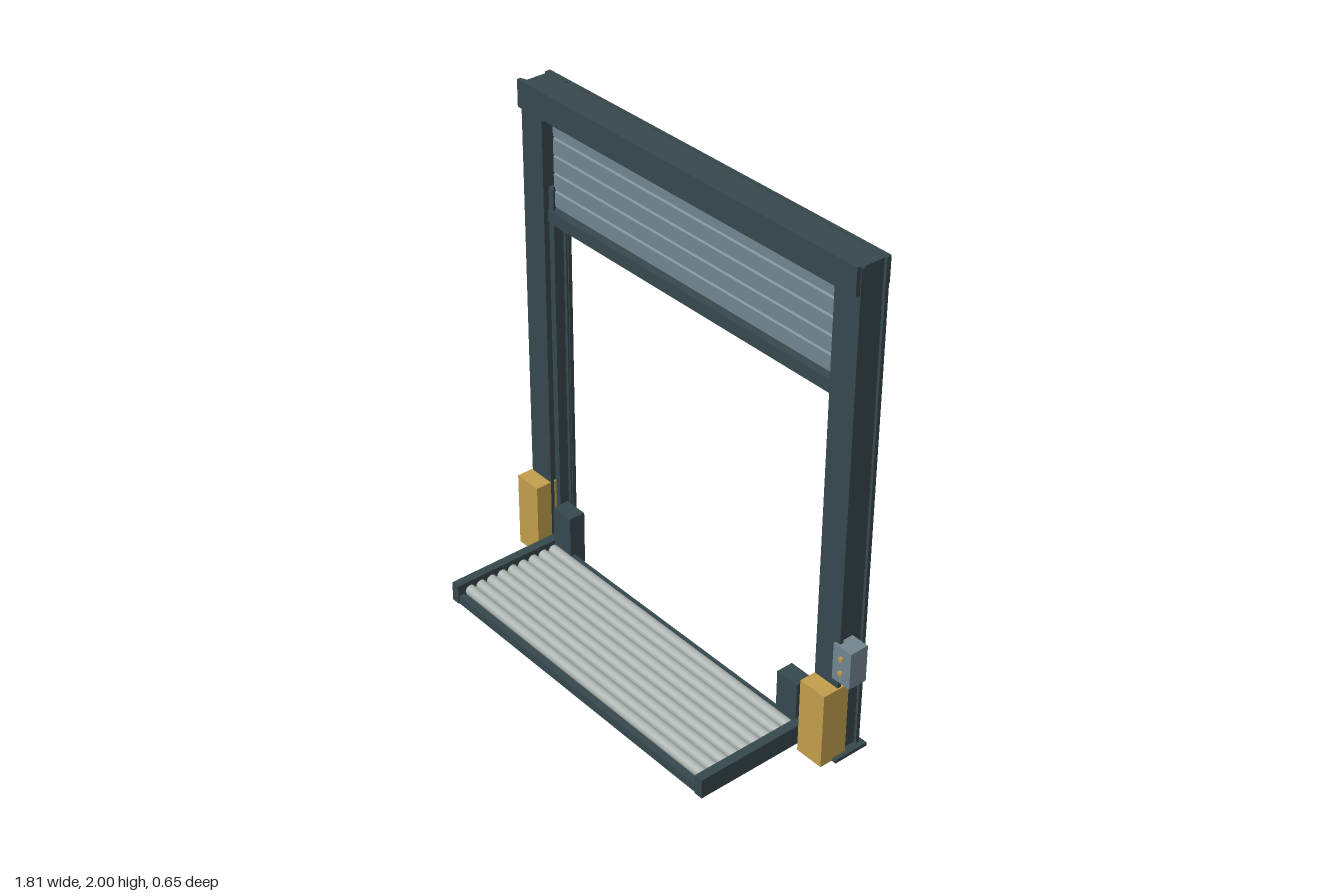
import * as THREE from 'three';

export function createModel() {
  const root = new THREE.Group();
  root.name = 'shutterGate';
  const mat = (name, color) => {
    const m = new THREE.MeshStandardMaterial({ color });
    m.name = name;
    return m;
  };
  const steel = mat('darkSteel', 0x36484d);
  const slatGrey = mat('shutterGrey', 0x728590);
  const rollerGrey = mat('rollerGrey', 0xaab1ae);
  const ochre = mat('ochre', 0xc29e4c);

  const add = (name, geometry, material, parent = root) => {
    const mesh = new THREE.Mesh(geometry, material);
    mesh.name = name;
    parent.add(mesh);
    return mesh;
  };
  // Box given by its limits on each axis
  const box = (name, x0, x1, y0, y1, z0, z1, material = steel, parent = root) => {
    const mesh = add(name, new THREE.BoxGeometry(x1 - x0, y1 - y0, z1 - z0), material, parent);
    mesh.position.set((x0 + x1) / 2, (y0 + y1) / 2, (z0 + z1) / 2);
    return mesh;
  };
  // Cylinder lying along x
  const rod = (name, x0, x1, y, z, r, sides, material, parent = root) => {
    const geometry = new THREE.CylinderGeometry(r, r, x1 - x0, sides).rotateZ(Math.PI / 2);
    const mesh = add(name, geometry, material, parent);
    mesh.position.set((x0 + x1) / 2, y, z);
    return mesh;
  };

  // The gate is symmetric about this x
  const cx = -0.0225;

  // Posts, guides, guards and feet on both sides; s points outward
  for (const s of [-1, 1]) {
    const side = new THREE.Group();
    side.name = s > 0 ? 'leftPost' : 'rightPost';
    root.add(side);
    // Limits measured outward from the centre line
    const part = (name, a, b, y0, y1, z0, z1, m = steel) =>
      box(name, cx + Math.min(s * a, s * b), cx + Math.max(s * a, s * b), y0, y1, z0, z1, m, side);

    part('frontFlange', 0.746, 0.861, 0.012, 1.99, -0.191, -0.176);
    part('backFlange', 0.746, 0.861, 0.012, 1.99, -0.299, -0.284);
    part('postCore', 0.752, 0.85, 0.012, 1.978, -0.285, -0.19);
    part('basePlate', 0.724, 0.883, 0, 0.014, -0.316, -0.165);
    part('postGuard', 0.746, 0.866, 0.004, 0.322, -0.225, -0.108, ochre);

    // U-shaped shutter guide
    part('guideBack', 0.738, 0.753, 0.014, 1.6, -0.262, -0.204);
    part('guideFrontLip', 0.724, 0.748, 0.014, 1.6, -0.21, -0.203);
    part('guideRearLip', 0.724, 0.748, 0.014, 1.6, -0.263, -0.256);

    part('hingeHousing', 0.59, 0.693, 0.012, 0.245, -0.215, -0.145);
    part('platformRail', 0.689, 0.726, 0.01, 0.092, -0.165, 0.322);
  }

  // Header beam: horizontal web between two upright flanges
  const header = new THREE.Group();
  header.name = 'headerBeam';
  root.add(header);
  box('headerFront', -0.88, 0.837, 1.893, 2, -0.174, -0.157, steel, header);
  box('headerBack', -0.88, 0.837, 1.893, 1.992, -0.304, -0.294, steel, header);
  box('headerWeb', -0.875, 0.829, 1.976, 1.987, -0.3, -0.17, steel, header);

  // Rolling shutter: coil, slats and bottom bar
  const shutter = new THREE.Group();
  shutter.name = 'shutter';
  root.add(shutter);
  rod('shutterCoil', -0.768, 0.721, 1.885, -0.272, 0.053, 32, slatGrey, shutter);
  const pitch = 0.0705;
  const profile = new THREE.Shape([
    [-0.004, -0.0353], [0.004, -0.0353], [0.01, -0.031], [0.01, 0.029],
    [0.004, 0.0353], [-0.004, 0.0353], [-0.01, 0.029], [-0.01, -0.031],
  ].map(([z, y]) => new THREE.Vector2(z, y)));
  const slat = new THREE.ExtrudeGeometry(profile, { depth: 1.486, bevelEnabled: false });
  slat.translate(0, 0, -0.743).rotateY(-Math.PI / 2);
  for (let i = 0; i < 5; i++) {
    add('slat', slat, slatGrey, shutter).position.set(cx, 1.55 + i * pitch, -0.232);
  }
  box('bottomBar', -0.769, 0.724, 1.462, 1.513, -0.266, -0.195, steel, shutter);

  // Roller platform
  const platform = new THREE.Group();
  platform.name = 'platform';
  root.add(platform);
  box('platformPan', -0.72, 0.675, 0.01, 0.036, -0.16, 0.318, steel, platform);
  box('platformFrontEdge', -0.716, 0.671, 0.01, 0.046, 0.295, 0.318, steel, platform);
  box('platformBackEdge', -0.716, 0.671, 0.01, 0.07, -0.165, -0.152, steel, platform);
  for (let i = 0; i < 9; i++) {
    rod('roller', -0.703, 0.658, 0.059, -0.128 + i * 0.05, 0.022, 16, rollerGrey, platform);
  }

  // Control box with two buttons
  const control = new THREE.Group();
  control.name = 'controlBox';
  root.add(control);
  box('controlCase', 0.817, 0.903, 0.363, 0.516, -0.245, -0.166, slatGrey, control);
  for (const y of [0.408, 0.47]) {
    const geometry = new THREE.CylinderGeometry(0.01, 0.01, 0.008, 16).rotateX(Math.PI / 2);
    add('button', geometry, ochre, control).position.set(0.858, y, -0.163);
  }
  return root;
}
